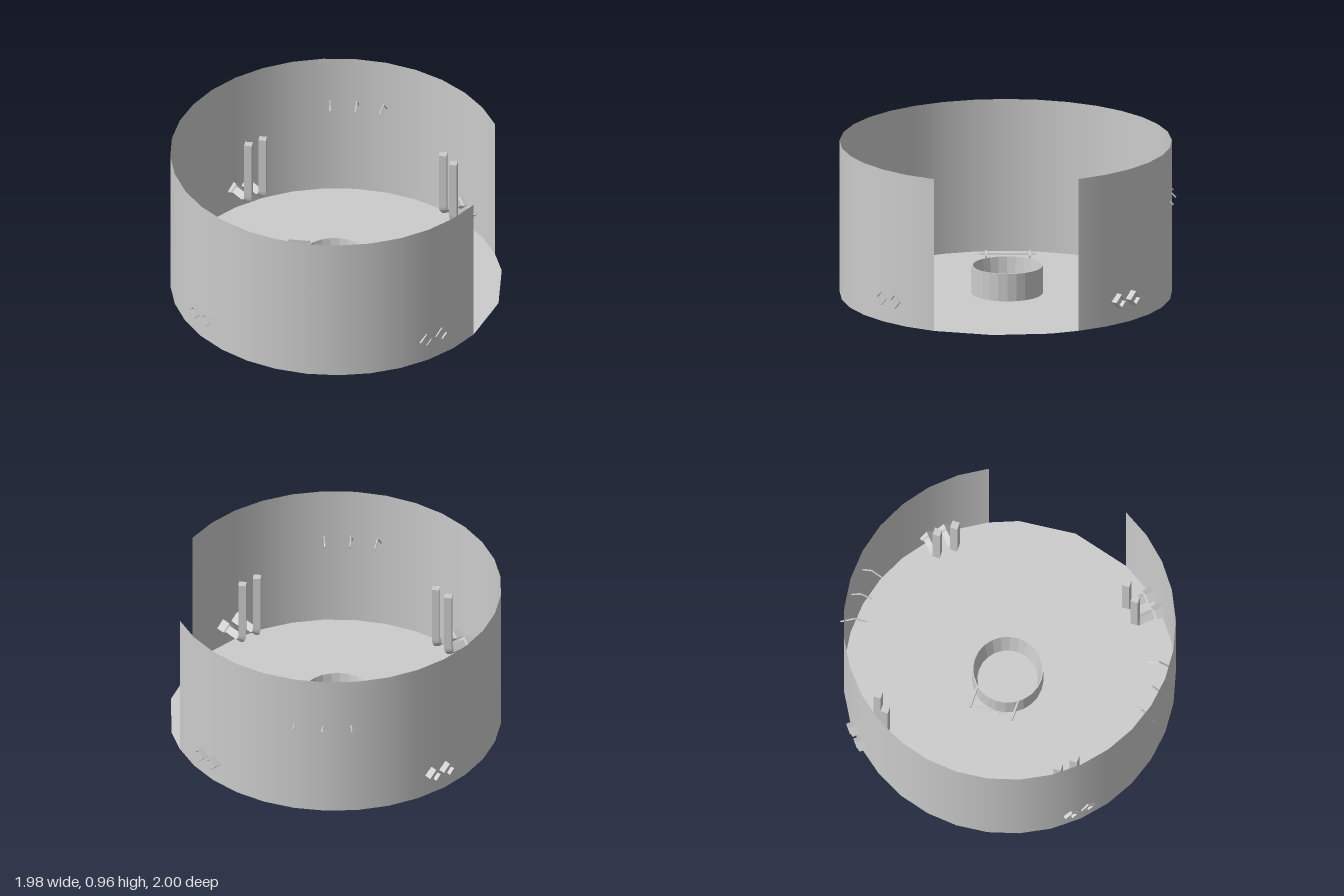
import * as THREE from 'three';

const FLOOR_Y = 0.022, TOP_Y = 0.955, R = 0.988, CZ = 0.008;
const GAP = THREE.MathUtils.degToRad(25.8); // half angle of the opening on +x

const smooth = new THREE.MeshStandardMaterial({ color: 0xcccccc, side: THREE.DoubleSide });
const flat = new THREE.MeshStandardMaterial({ color: 0xcccccc, side: THREE.DoubleSide, flatShading: true });

function add(parent, name, geometry, material = flat) {
  const mesh = new THREE.Mesh(geometry, material);
  mesh.name = name;
  parent.add(mesh);
  return mesh;
}

// Straight thin rod between two points
function rod(parent, name, a, b, radius, sides = 6) {
  const dir = b.clone().sub(a);
  const mesh = add(parent, name, new THREE.CylinderGeometry(radius, radius, dir.length(), sides));
  mesh.position.copy(a).addScaledVector(dir, 0.5);
  mesh.quaternion.setFromUnitVectors(new THREE.Vector3(0, 1, 0), dir.normalize());
  return mesh;
}

// Diamond-section pipe: sleeve through the wall, level run, bend, upright leg.
// Local origin is on the upright's axis, +z points outward.
function bentPipe(x, z) {
  const pipe = new THREE.Group();
  pipe.name = 'bentPipe';
  const y = 0.165, r = 0.032, bend = 0.035, top = 0.565;
  const path = new THREE.CurvePath();
  const v = (py, pz) => new THREE.Vector3(0, py, pz);
  path.add(new THREE.LineCurve3(v(y, 0.16), v(y, bend)));
  path.add(new THREE.QuadraticBezierCurve3(v(y, bend), v(y, 0), v(y + bend, 0)));
  path.add(new THREE.LineCurve3(v(y + bend, 0), v(top, 0)));
  add(pipe, 'pipe', new THREE.TubeGeometry(path, 40, r, 4));
  const cap = add(pipe, 'pipeCap', new THREE.CircleGeometry(r, 4).rotateX(-Math.PI / 2));
  cap.position.y = top;
  const profile = [[r, 0.115], [0.046, 0.125], [0.046, 0.19], [0.034, 0.19], [0.03, 0.165], [0, 0.165]]
    .map(([a, b]) => new THREE.Vector2(a, b));
  const sleeve = add(pipe, 'sleeve', new THREE.LatheGeometry(profile, 4).rotateX(Math.PI / 2));
  sleeve.position.y = y;
  pipe.position.set(x, 0, z);
  pipe.rotation.y = Math.atan2(Math.sign(x), Math.sign(z));
  return pipe;
}

// Bent wire hook passing through the wall, laid out radially at the given angle
function hook(side, angle) {
  const group = new THREE.Group();
  group.name = 'wallHook';
  const pts = [[1.003, 0.605], [0.92, 0.69], [0.848, 0.66]]
    .map(([z, y]) => new THREE.Vector3(0, y, z));
  rod(group, 'hookShank', pts[0], pts[1], 0.005);
  rod(group, 'hookTip', pts[1], pts[2], 0.005);
  group.rotation.y = side > 0 ? angle : Math.PI - angle;
  group.position.set(-0.015, 0, side > 0 ? -0.01 : 0);
  return group;
}

export function createModel() {
  const model = new THREE.Group();
  model.name = 'openTank';

  // Curved wall with an opening on +x
  const wall = add(model, 'wall', new THREE.CylinderGeometry(
    R, R, TOP_Y - FLOOR_Y, 28, 1, true, Math.PI / 2 + GAP, 2 * (Math.PI - GAP)), smooth);
  wall.position.set(-0.002, (TOP_Y + FLOOR_Y) / 2, CZ);

  // Floor sheet: follows the wall, coarser across the opening
  const outline = [];
  for (let i = 0; i <= 28; i++) {
    const a = GAP + (i / 28) * 2 * (Math.PI - GAP);
    outline.push(new THREE.Vector2(R * Math.cos(a) - 0.002, -R * Math.sin(a) - CZ));
  }
  outline.push(new THREE.Vector2(0.953, 0.255), new THREE.Vector2(0.985, -0.09));
  const floor = add(model, 'floor', new THREE.ShapeGeometry(new THREE.Shape(outline)).rotateX(-Math.PI / 2));
  floor.position.y = FLOOR_Y;

  // Central collar with a tapering bore
  const collarProfile = [[0.18, 0.015], [0.195, 0], [0.213, 0], [0.213, 0.19], [0.205, 0.19], [0.18, 0.025], [0.18, 0.015]]
    .map(([r, y]) => new THREE.Vector2(r, y));
  const collar = add(model, 'collar', new THREE.LatheGeometry(collarProfile, 24));
  collar.position.set(-0.014, 0, 0);

  // Hinge bracket beside the collar
  const bracket = new THREE.Group();
  bracket.name = 'hingeBracket';
  for (const z of [-0.135, 0.125]) {
    const arm = add(bracket, 'hingeArm', new THREE.BoxGeometry(0.13, 0.024, 0.012));
    arm.position.set(-0.248, 0.192, z);
  }
  rod(bracket, 'hingePin', new THREE.Vector3(-0.295, 0.185, -0.172),
    new THREE.Vector3(-0.295, 0.185, 0.163), 0.004);
  model.add(bracket);

  // Four pairs of bent pipes on the diagonals
  const pipeSpots = [
    [0.545, -0.63], [0.62, -0.545], [-0.54, -0.635], [-0.615, -0.565],
    [0.52, 0.62], [0.6, 0.54], [-0.55, 0.6], [-0.63, 0.525],
  ];
  for (const [x, z] of pipeSpots) model.add(bentPipe(x, z));

  // Three hooks on the front wall and three on the back
  for (const side of [1, -1])
    for (const angle of [-0.175, 0, 0.175]) model.add(hook(side, angle));

  return model;
}
